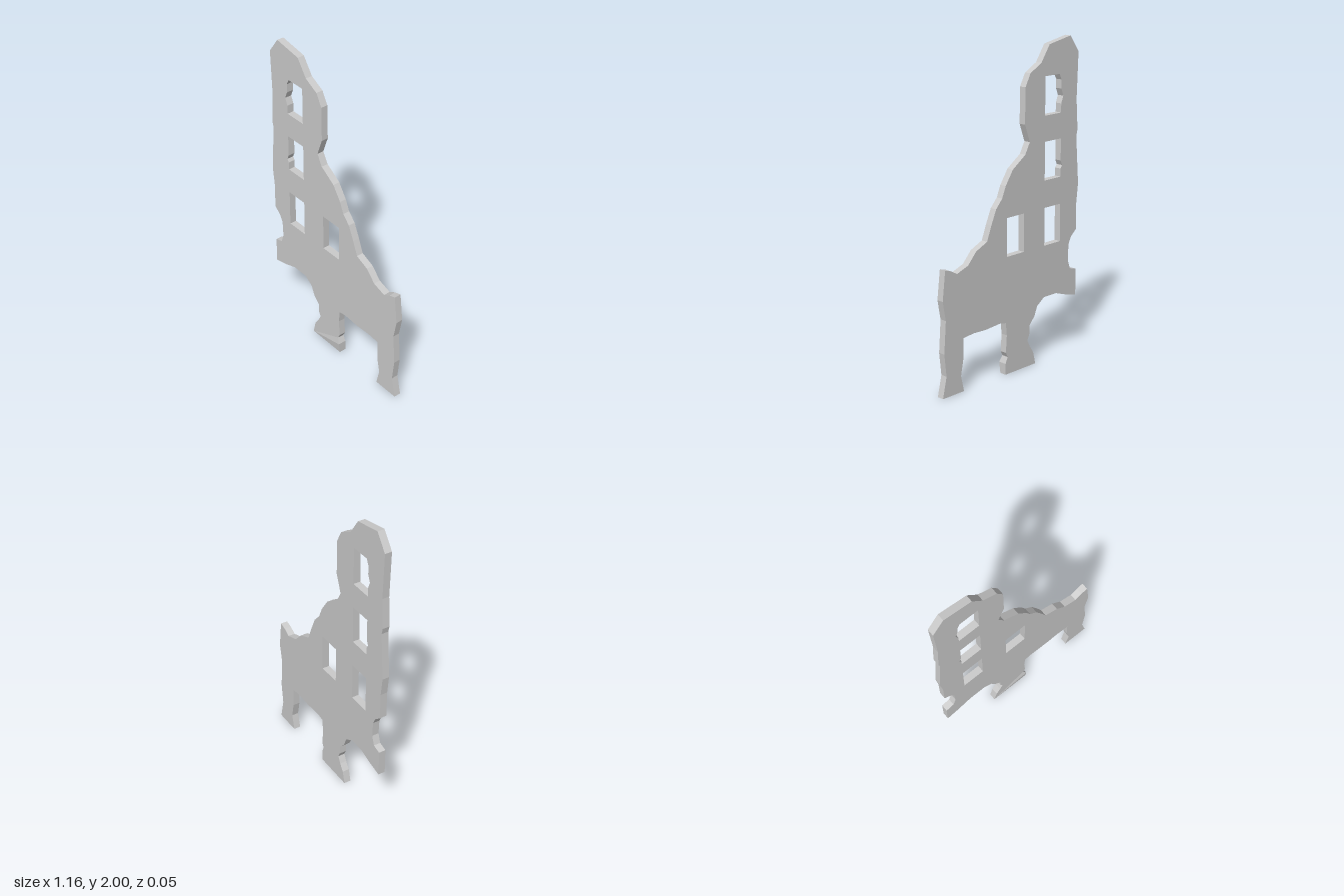
import * as THREE from 'three';

const BACK = -0.027, FRONT = 0.017;

// Broken outline, counter-clockwise, one run per side
const feetAndDoorway = [
  [-0.2, 0], [0.063, 0], [0.063, 0.07], [0.045, 0.11], [0.06, 0.14], [0.052, 0.25], [0.06, 0.33],
  [0.11, 0.34], [0.23, 0.332], [0.33, 0.337], [0.412, 0.33], [0.415, 0.2], [0.435, 0.1], [0.412, 0],
];
const rightEdge = [
  [0.58, 0], [0.55, 0.13], [0.565, 0.27], [0.55, 0.47], [0.572, 0.59], [0.55, 0.77],
];
const skyline = [
  [0.505, 0.757], [0.458, 0.73], [0.37, 0.76], [0.305, 0.83], [0.215, 0.87], [0.18, 0.96],
  [0.14, 1.05], [0.09, 1.105], [0.06, 1.175], [0, 1.263], [-0.105, 1.335], [-0.143, 1.405],
  [-0.102, 1.515], [-0.105, 1.735], [-0.147, 1.812], [-0.24, 1.863], [-0.31, 1.965], [-0.495, 2],
];
const leftEdge = [
  [-0.568, 1.9], [-0.556, 1.61], [-0.568, 1.42], [-0.558, 1.38], [-0.58, 1.08], [-0.566, 0.96],
  [-0.566, 0.79], [-0.52, 0.75], [-0.498, 0.705], [-0.493, 0.605], [-0.513, 0.545], [-0.568, 0.53],
];
const brokenUnderside = [
  [-0.568, 0.36], [-0.48, 0.38], [-0.385, 0.412], [-0.275, 0.412], [-0.215, 0.37], [-0.19, 0.31],
  [-0.145, 0.26], [-0.145, 0.205], [-0.128, 0.17], [-0.15, 0.125], [-0.18, 0.08],
];

const toPoints = (list) => list.map(([x, y]) => new THREE.Vector2(x, y));

// Window opening; chips replace the straight left side, listed upwards
function windowHole(x0, x1, y0, y1, chips = [[x0, y1]]) {
  return new THREE.Path(toPoints([[x1, y1], [x1, y0], [x0, y0], ...chips]));
}

export function createModel() {
  const group = new THREE.Group();
  group.name = 'ruinedWall';

  const shape = new THREE.Shape(toPoints([
    ...feetAndDoorway, ...rightEdge, ...skyline, ...leftEdge, ...brokenUnderside,
  ]));
  shape.holes.push(
    windowHole(-0.417, -0.275, 1.545, 1.78,
      [[-0.417, 1.6], [-0.435, 1.645], [-0.417, 1.69], [-0.417, 1.745], [-0.4, 1.78]]),
    windowHole(-0.417, -0.275, 1.15, 1.387,
      [[-0.417, 1.2], [-0.43, 1.22], [-0.417, 1.25], [-0.417, 1.387]]),
    windowHole(-0.417, -0.275, 0.742, 0.98),
    windowHole(-0.095, 0.052, 0.742, 0.98),
  );

  const geometry = new THREE.ExtrudeGeometry(shape, { depth: FRONT - BACK, bevelEnabled: false });
  geometry.translate(0, 0, BACK);

  // Slight bulge on the front of the middle foot
  const pos = geometry.attributes.position;
  for (let i = 0; i < pos.count; i++) {
    if (pos.getZ(i) > 0 && Math.hypot(pos.getX(i) - 0.063, pos.getY(i) - 0.07) < 0.01) {
      pos.setZ(i, FRONT + 0.009);
    }
  }
  geometry.computeVertexNormals();

  const wall = new THREE.Mesh(
    geometry,
    new THREE.MeshStandardMaterial({ color: 0xcccccc, flatShading: true }),
  );
  wall.name = 'brokenWall';
  group.add(wall);
  return group;
}
